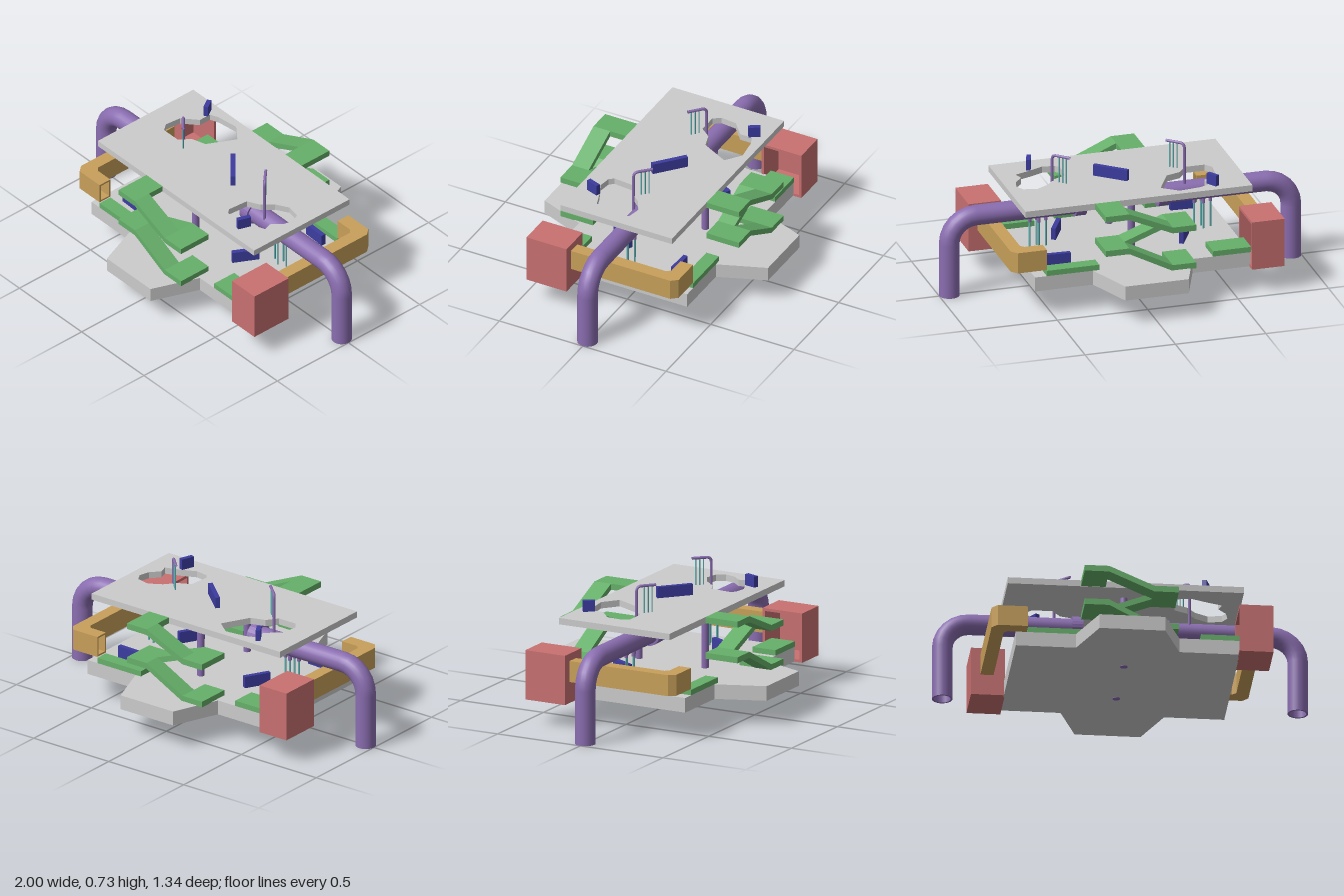
import * as THREE from 'three';

const mat = (color, flatShading = true) =>
  new THREE.MeshStandardMaterial({ color, flatShading, side: THREE.DoubleSide });
const GREY = mat(0xcccccc), GREEN = mat(0x66b06a), TAN = mat(0xc8a05a), RED = mat(0xc87070);
const BLUE = mat(0x3c3ca0), CYAN = mat(0x60b0b0), PURPLE = mat(0x8a6db0, false);

function add(parent, name, geometry, material) {
  const mesh = new THREE.Mesh(geometry, material);
  mesh.name = name;
  parent.add(mesh);
  return mesh;
}

const toPoints = list => list.map(([x, y]) => new THREE.Vector2(x, y));

// Box given by its limits on each axis
function block(parent, name, material, x0, x1, y0, y1, z0, z1) {
  const mesh = add(parent, name, new THREE.BoxGeometry(x1 - x0, y1 - y0, z1 - z0), material);
  mesh.position.set((x0 + x1) / 2, (y0 + y1) / 2, (z0 + z1) / 2);
  return mesh;
}

// Horizontal slab from an outline of x, z points
function slab(parent, name, material, outline, y0, y1, holes = []) {
  const shape = new THREE.Shape(toPoints(outline));
  shape.holes = holes.map(h => new THREE.Path(toPoints(h)));
  const geo = new THREE.ExtrudeGeometry(shape, { depth: y1 - y0, bevelEnabled: false });
  geo.rotateX(Math.PI / 2).translate(0, y1, 0);
  return add(parent, name, geo, material);
}

// Thin upright wall between two floor points
function barrier(parent, [xa, za], [xb, zb], y0, y1) {
  const length = Math.hypot(xb - xa, zb - za);
  const mesh = add(parent, 'barrier', new THREE.BoxGeometry(length, y1 - y0, 0.025), BLUE);
  mesh.position.set((xa + xb) / 2, (y0 + y1) / 2, (za + zb) / 2);
  mesh.rotation.y = -Math.atan2(zb - za, xb - xa);
}

function rod(parent, name, material, x, z, y0, y1, r, sides = 8) {
  add(parent, name, new THREE.CylinderGeometry(r, r, y1 - y0, sides), material)
    .position.set(x, (y0 + y1) / 2, z);
}

// Switchback of three ramps with a landing at each turn
function stairs(parent) {
  const levels = [0.57, 0.465, 0.375, 0.25], t = 0.033;
  levels.forEach((y, i) => {
    const [x0, x1] = i % 2 ? [0.13, 0.26] : [-0.24, -0.11];
    block(parent, 'landing', GREEN, x0, x1, y - t, y, 0.335, 0.53);
    if (i === 3) return;
    const next = levels[i + 1], s = i % 2 ? [0.13, -0.11] : [-0.11, 0.13];
    const side = new THREE.Shape(toPoints([[s[0], y], [s[1], next], [s[1], next - t], [s[0], y - t]]));
    const geo = new THREE.ExtrudeGeometry(side, { depth: 0.1, bevelEnabled: false });
    add(parent, 'ramp', geo.translate(0, 0, i % 2 ? 0.335 : 0.43), GREEN);
  });
}

// Hollow square passage that turns a chamfered corner
function passage(parent) {
  const w = 0.01, y0 = 0.255, y1 = 0.37;
  const outer = [[0.72, 0.22], [0.72, -0.375], [0.69, -0.41], [0.53, -0.41]];
  const inner = [[0.53, -0.335], [0.63, -0.335], [0.65, -0.315], [0.65, 0.22]];
  slab(parent, 'passageFloor', TAN, [...outer, ...inner], y0, y0 + w);
  slab(parent, 'passageRoof', TAN, [...outer, ...inner], y1 - w, y1);
  slab(parent, 'passageOuterWall', TAN, [...outer,
    [0.53, -0.41 + w], [0.685, -0.41 + w], [0.72 - w, -0.37], [0.72 - w, 0.22]], y0, y1);
  slab(parent, 'passageInnerWall', TAN, [...inner,
    [0.65 + w, 0.22], [0.65 + w, -0.32], [0.634, -0.335 - w], [0.53, -0.335 - w]], y0, y1);
}

// Box room open towards the middle of the model
function room(parent) {
  const frame = new THREE.Shape(toPoints([[0.22, 0.14], [0.46, 0.14], [0.46, 0.41], [0.22, 0.41]]));
  frame.holes.push(new THREE.Path(toPoints([[0.235, 0.155], [0.235, 0.395], [0.445, 0.395], [0.445, 0.155]])));
  const geo = new THREE.ExtrudeGeometry(frame, { depth: 0.18, bevelEnabled: false });
  geo.rotateY(-Math.PI / 2).translate(0.77, 0, 0);
  add(parent, 'roomWalls', geo, RED);
  block(parent, 'roomEnd', RED, 0.755, 0.77, 0.14, 0.41, 0.22, 0.46);
}

// Hollow pipe leg with elbow, collar and nozzles
function pipe(parent) {
  const r = 0.055, y = 0.44, bend = 0.145, bx = 0.8;
  for (const [name, radius] of [['pipe', r], ['pipeBore', 0.045]]) {
    const leg = new THREE.CylinderGeometry(radius, radius, y - bend, 24, 1, true);
    add(parent, name + 'Leg', leg.translate(bx + bend, (y - bend) / 2, 0), PURPLE);
    const elbow = new THREE.TorusGeometry(bend, radius, 24, 6, Math.PI / 2);
    add(parent, name + 'Elbow', elbow.translate(bx, y - bend, 0), PURPLE);
    const arm = new THREE.CylinderGeometry(radius, radius, bx - 0.2, 24, 1, true);
    add(parent, name + 'Arm', arm.rotateZ(Math.PI / 2).translate((bx + 0.2) / 2, y, 0), PURPLE);
  }
  const rim = new THREE.RingGeometry(0.045, r, 24);
  add(parent, 'pipeRim', rim.rotateX(Math.PI / 2).translate(bx + bend, 0, 0), PURPLE);
  const collar = new THREE.LatheGeometry(
    toPoints([[0.045, 0], [0.067, 0], [0.067, 0.058], [0.05, 0.058]]), 24);
  add(parent, 'pipeCollar', collar.rotateZ(-Math.PI / 2).translate(0.2, y, 0),
    mat(PURPLE.color.getHex()));
  for (const [x, z] of [[0.41, 0], [0.455, 0.02], [0.455, -0.02], [0.5, 0]]) {
    rod(parent, 'nozzle', PURPLE, x, z, 0.365, 0.4, 0.01);
    rod(parent, 'stream', CYAN, x, z, 0.22, 0.37, 0.005, 6);
  }
}

// Bent spout rising through the deck with streams falling from its tip
function spout(parent, [xa, za], [xb, zb]) {
  const at = (t, y) => new THREE.Vector3(xa + (xb - xa) * t, y, za + (zb - za) * t);
  const path = new THREE.CurvePath();
  path.add(new THREE.LineCurve3(at(0, 0.46), at(0, 0.69)));
  path.add(new THREE.QuadraticBezierCurve3(at(0, 0.69), at(0, 0.718), at(0.25, 0.718)));
  path.add(new THREE.LineCurve3(at(0.25, 0.718), at(1, 0.718)));
  add(parent, 'spout', new THREE.TubeGeometry(path, 40, 0.008, 8), PURPLE);
  for (const t of [0.4, 0.6, 0.8]) {
    const p = at(t, 0);
    rod(parent, 'stream', CYAN, p.x, p.z, 0.55, 0.715, 0.004, 6);
  }
}

export function createModel() {
  const model = new THREE.Group();
  model.name = 'twoLevelArena';

  // Base plate with a tapered tongue front and back
  const half = [[-0.595, 0.41], [-0.275, 0.41], [-0.175, 0.67], [0.175, 0.67], [0.275, 0.41], [0.595, 0.41]];
  slab(model, 'basePlate', GREY, [...half, ...half.map(([x, z]) => [-x, -z])], 0.14, 0.22);

  // Upper deck with two ragged openings
  const leftHole = [[-0.5, -0.03], [-0.49, -0.12], [-0.41, -0.19], [-0.41, -0.26], [-0.36, -0.28],
    [-0.24, -0.295], [-0.155, -0.23], [-0.18, -0.18], [-0.235, -0.075], [-0.315, -0.05], [-0.36, 0.01], [-0.47, 0.01]];
  const rightHole = [[0.27, 0.2], [0.28, 0.085], [0.35, 0.05], [0.4, -0.01], [0.47, -0.05], [0.545, -0.035],
    [0.57, 0.01], [0.555, 0.07], [0.51, 0.12], [0.525, 0.17], [0.44, 0.2], [0.36, 0.235], [0.29, 0.225]];
  slab(model, 'upperDeck', GREY,
    [[-0.63, -0.335], [0.625, -0.335], [0.625, 0.335], [-0.63, 0.335]], 0.535, 0.57, [leftHole, rightHole]);

  // Parts that repeat after a half turn
  for (const turn of [0, Math.PI]) {
    const side = new THREE.Group();
    side.name = turn ? 'backHalf' : 'frontHalf';
    side.rotation.y = turn;
    model.add(side);
    stairs(side);
    passage(side);
    room(side);
    pipe(side);
    rod(side, 'post', PURPLE, 0, 0.2, 0.137, 0.545, 0.02, 20);
    block(side, 'walkway', GREEN, -0.53, -0.24, 0.22, 0.25, 0.335, 0.41);
    block(side, 'roomWalkway', GREEN, 0.39, 0.6, 0.22, 0.25, 0.27, 0.41);
    barrier(side, [0.28, 0.19], [0.35, 0.06], 0.22, 0.285);
    barrier(side, [-0.49, 0.27], [-0.36, 0.275], 0.22, 0.285);
  }

  // Deck barriers and spouts
  barrier(model, [-0.02, -0.08], [0.13, 0.05], 0.57, 0.63);
  barrier(model, [-0.45, -0.29], [-0.415, -0.235], 0.57, 0.63);
  barrier(model, [0.42, 0.275], [0.445, 0.205], 0.57, 0.63);
  spout(model, [-0.35, -0.02], [-0.27, 0.052]);
  spout(model, [0.365, 0.035], [0.29, -0.04]);
  return model;
}
